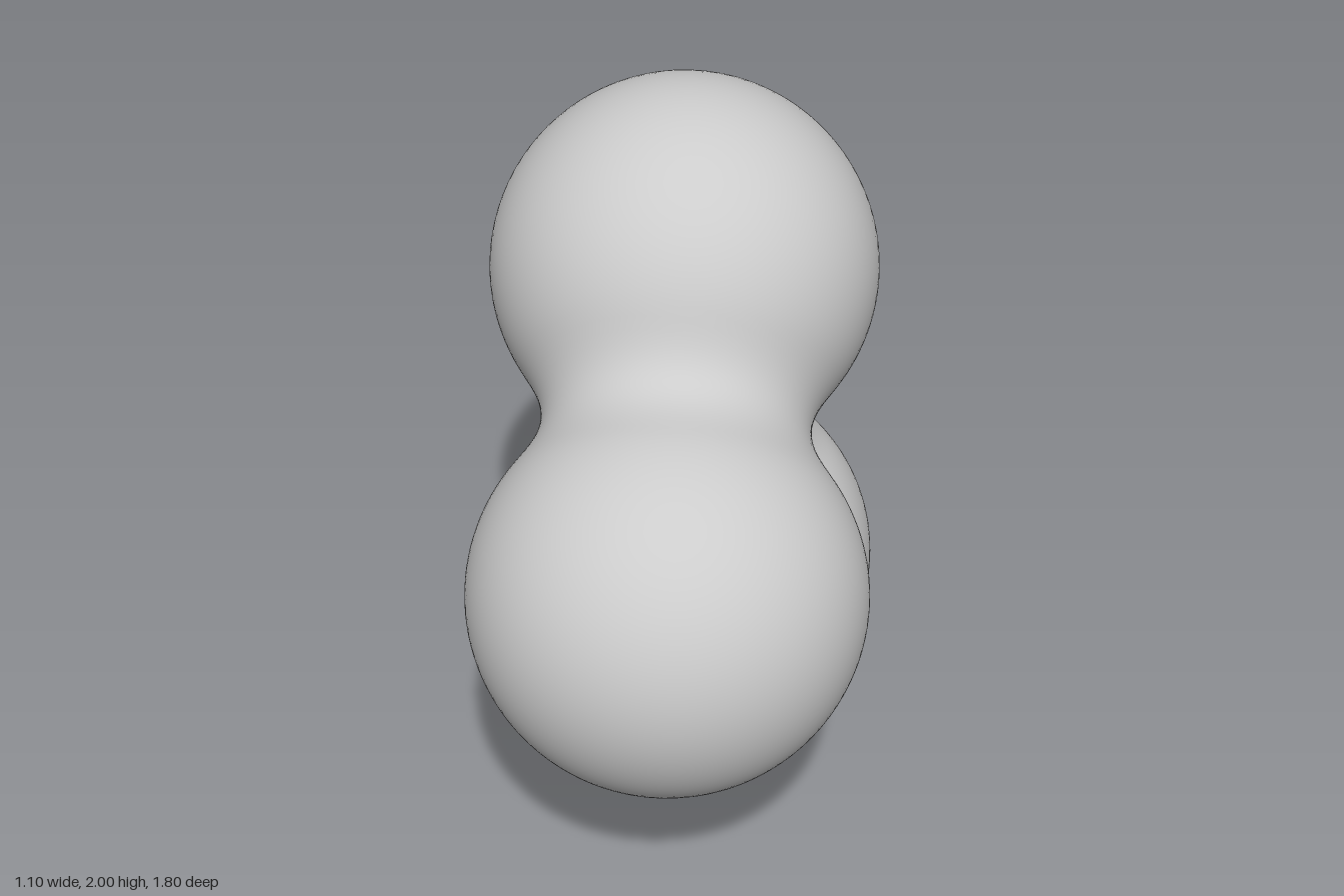
import * as THREE from 'three';

// Three equal lobes melted together by a soft falloff field
const LOBES = [
  new THREE.Vector3(-0.03, 1.48, -0.34), // upper
  new THREE.Vector3(0.03, 0.925, 0.38), // front
  new THREE.Vector3(-0.02, 0.52, -0.38), // lower
];
const RADIUS = 0.52; // radius of a lone lobe
const REACH = 0.76; // distance at which a lobe's influence ends
const LEVEL = (1 - (RADIUS / REACH) ** 2) ** 3;

function field(p) {
  let sum = 0;
  for (const c of LOBES) {
    const q = 1 - p.distanceToSquared(c) / (REACH * REACH);
    if (q > 0) sum += q * q * q;
  }
  return sum - LEVEL;
}

// Outward surface normal: opposite to the field's gradient
function fieldNormal(p) {
  const n = new THREE.Vector3();
  for (const c of LOBES) {
    const q = 1 - p.distanceToSquared(c) / (REACH * REACH);
    if (q > 0) n.addScaledVector(p.clone().sub(c), q * q);
  }
  return n.normalize();
}

// Walk in from outside along a ray until the surface, then refine by halving
function surfacePoint(origin, dir) {
  const at = (t) => dir.clone().multiplyScalar(t).add(origin);
  let t = 1.3;
  const step = 0.02;
  while (t > 0 && field(at(t)) < 0) t -= step;
  let lo = t, hi = t + step;
  for (let i = 0; i < 16; i++) {
    const mid = (lo + hi) / 2;
    if (field(at(mid)) < 0) hi = mid;
    else lo = mid;
  }
  return at(lo);
}

export function createModel() {
  const group = new THREE.Group();
  group.name = 'blendedLobes';

  // Fine ball wrapped onto the blended surface from the middle of the lobes
  const centre = new THREE.Vector3();
  LOBES.forEach((c) => centre.addScaledVector(c, 1 / LOBES.length));
  const geometry = new THREE.IcosahedronGeometry(1, 32);
  const pos = geometry.attributes.position;
  const nor = geometry.attributes.normal;
  const dir = new THREE.Vector3();
  for (let i = 0; i < pos.count; i++) {
    dir.fromBufferAttribute(pos, i).normalize();
    const p = surfacePoint(centre, dir);
    const n = fieldNormal(p);
    pos.setXYZ(i, p.x, p.y, p.z);
    nor.setXYZ(i, n.x, n.y, n.z);
  }

  const body = new THREE.Mesh(geometry, new THREE.MeshStandardMaterial({ color: 0xcccccc }));
  body.name = 'body';
  group.add(body);
  return group;
}
